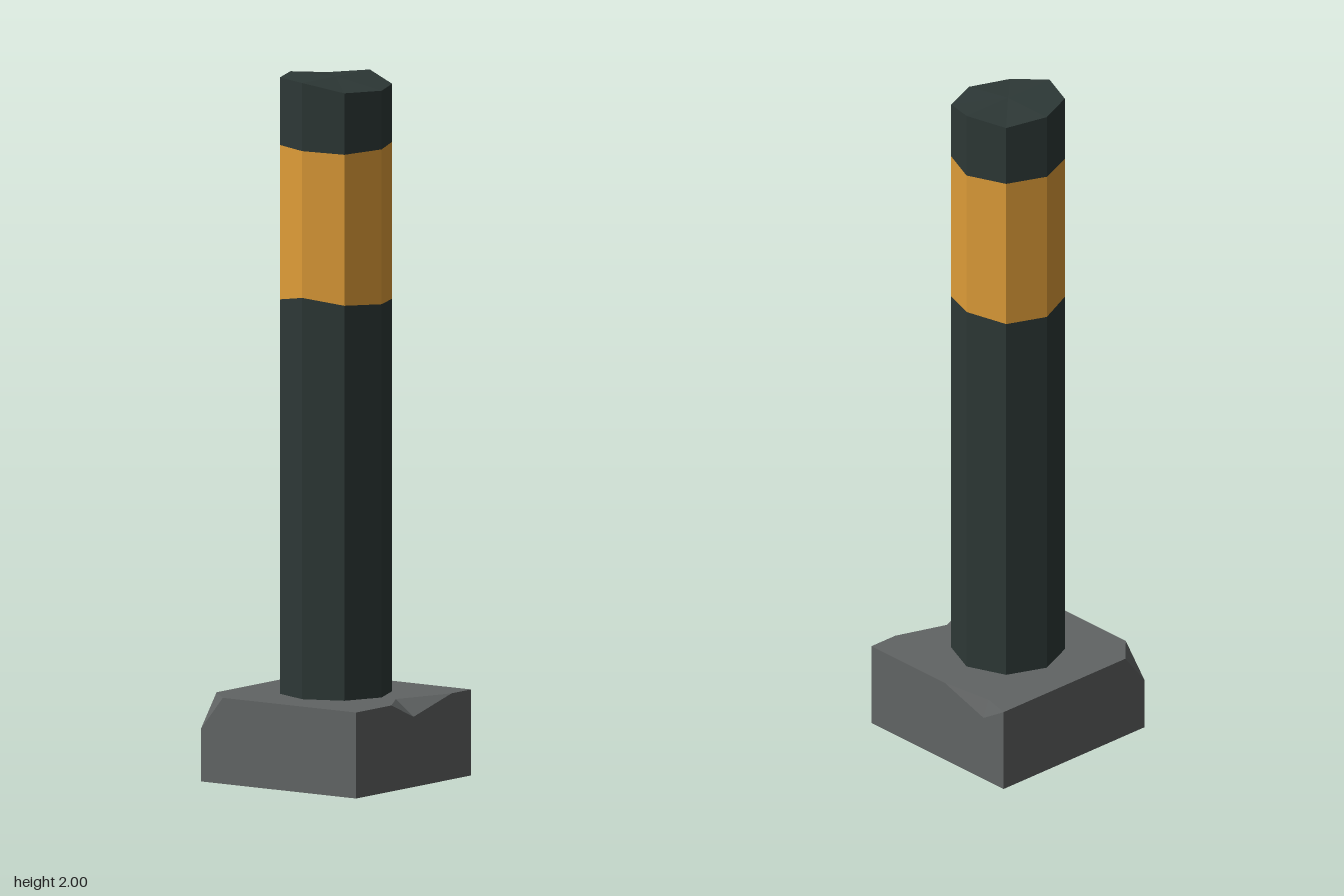
import * as THREE from 'three';

const paint = (name, color) => {
  const m = new THREE.MeshStandardMaterial({ color });
  m.name = name;
  return m;
};

// Flat-shaded mesh from a list of triangles
function facets(name, tris, material) {
  const g = new THREE.BufferGeometry();
  g.setAttribute('position', new THREE.Float32BufferAttribute(tris.flat(2), 3));
  g.computeVertexNormals();
  const mesh = new THREE.Mesh(g, material);
  mesh.name = name;
  return mesh;
}

// Triangles from a hub to every edge of a closed loop (counter-clockwise from outside)
const fan = (hub, loop) => loop.map((p, i) => [hub, p, loop[(i + 1) % loop.length]]);

// Octagon ring with one height per corner, starting at the front and turning towards +x
const ring = (heights) => heights.map((y, i) => {
  const a = (i * Math.PI) / 4;
  return [0.16 * Math.sin(a), y, 0.16 * Math.cos(a)];
});

// Side wall between two rings
const wall = (low, high) => low.flatMap((p, i) => {
  const j = (i + 1) % low.length;
  return [[p, low[j], high[j]], [p, high[j], high[i]]];
});

export function createModel() {
  const group = new THREE.Group();
  const dark = paint('dark post', 0x2d3836);
  const amber = paint('amber band', 0xdf9d38);
  const stone = paint('grey concrete', 0x616464);

  // Post in three sections, with slightly uneven band edges and a worn top
  const foot = ring(Array(8).fill(0.1));
  const bandLow = ring([1.365, 1.363, 1.375, 1.363, 1.363, 1.368, 1.388, 1.37]);
  const bandHigh = ring([1.806, 1.81, 1.81, 1.81, 1.81, 1.808, 1.806, 1.8]);
  const rim = ring([1.973, 1.975, 2, 1.988, 2, 2, 2, 1.975]);
  group.add(
    facets('postShaft', wall(foot, bandLow), dark),
    facets('reflectiveBand', wall(bandLow, bandHigh), amber),
    facets('postTop', [...wall(bandHigh, rim), ...fan([0, 2, 0], rim)], dark),
  );

  // Square footing: corners
  const s = 0.272, h = 0.245;
  const [bFL, bFR, bBR, bBL] = [[-s, 0, s], [s, 0, s], [s, 0, -s], [-s, 0, -s]];
  const [tFL, tFR, tBR] = [[-s, h, s], [s, h, s], [s, h, -s]];
  // Chips: front edge, right edge and back corner
  const f1 = [-0.105, h, s], f2 = [0.18, h, s], fIn = [0, h, 0.21], fLow = [0, 0.2, s];
  const r1 = [s, h, -0.03], rIn = [0.252, h, -0.19], rLow = [s, 0.195, -0.19];
  const c1 = [-0.198, h, -s], c2 = [-s, h, -0.195], cLow = [-s, 0.15, -s];

  group.add(facets('footing', [
    ...fan([0, h, 0], [tFL, f1, fIn, f2, tFR, r1, rIn, tBR, c1, c2]), // top
    ...fan(fLow, [f1, tFL, bFL, bFR, tFR, f2]).slice(0, -1),          // front
    ...fan(rLow, [r1, tFR, bFR, bBR, tBR]).slice(0, -1),              // right
    ...fan(bBR, [bBL, cLow, c1, tBR]).slice(0, -1),                   // back
    ...fan(bFL, [tFL, c2, cLow, bBL]).slice(0, -1),                   // left
    ...fan([0, 0, 0], [bFL, bBL, bBR, bFR]),                          // underside
    [fLow, fIn, f1], [fLow, f2, fIn],                                 // chips
    [rLow, rIn, r1], [rLow, tBR, rIn],
    [cLow, c2, c1],
  ], stone));

  return group;
}
